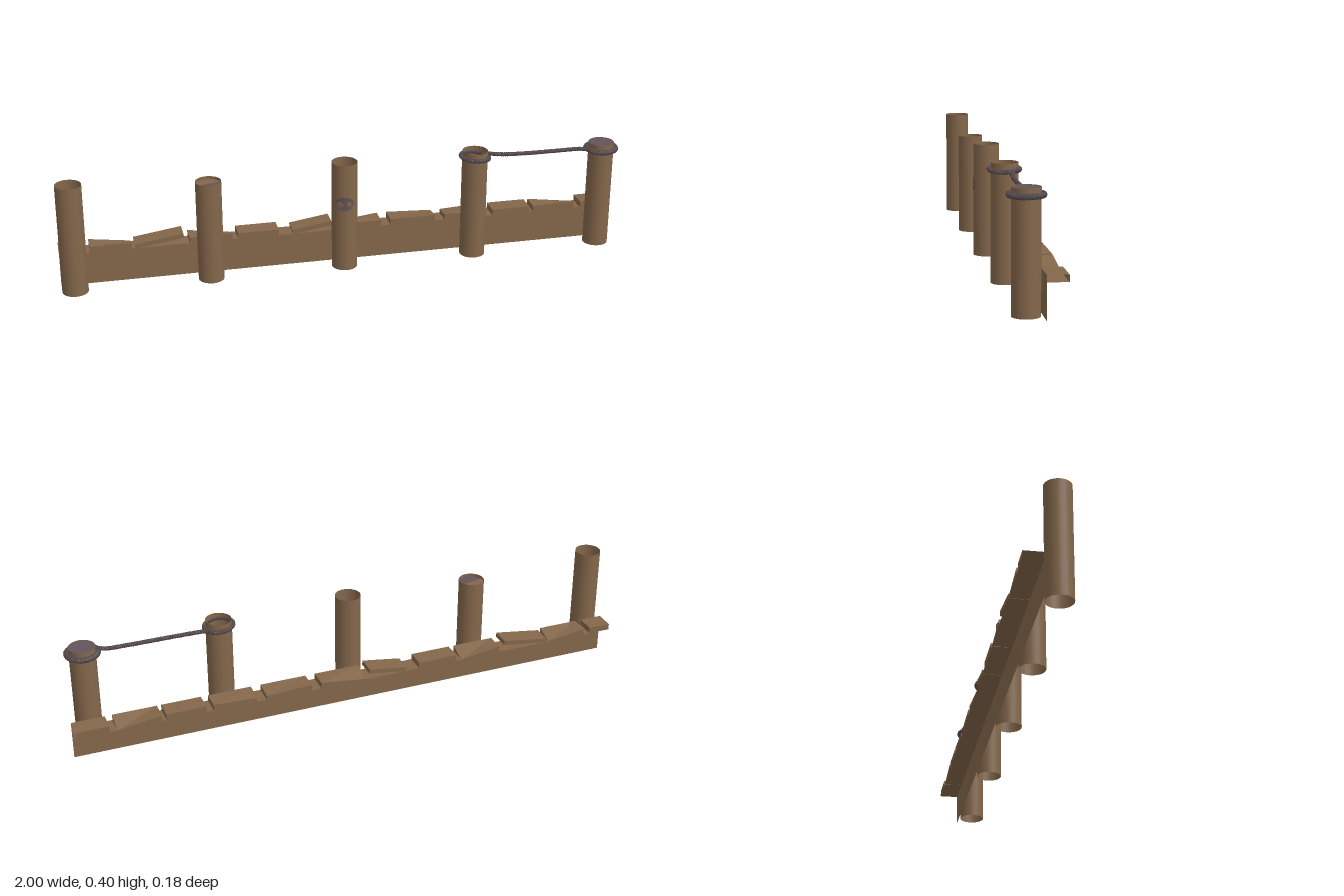
import * as THREE from 'three';

const mat = (name, color) => {
  const m = new THREE.MeshStandardMaterial({ color, side: THREE.DoubleSide });
  m.name = name;
  return m;
};

export function createModel() {
  const model = new THREE.Group();
  const wood = mat('wood', 0x84674b);
  const grey = mat('weathered grey', 0x62545a);
  const ropeMat = mat('rope', 0x54484b);

  const add = (name, geometry, material, x = 0, y = 0, z = 0) => {
    const mesh = new THREE.Mesh(geometry, material);
    mesh.name = name;
    mesh.position.set(x, y, z);
    model.add(mesh);
    return mesh;
  };

  const R = 0.045, postZ = 0.028;
  const front = -0.023, back = -0.09, depth = front - back, midZ = (front + back) / 2;

  // Hollow posts: x, height
  const posts = [[-0.955, 0.395], [-0.485, 0.365], [-0.01, 0.395], [0.46, 0.395], [0.93, 0.388]];
  for (const [x, h] of posts) {
    add('post', new THREE.CylinderGeometry(R, R, h, 24, 1, true), wood, x, h / 2, postZ);
  }

  // Post tops
  const cap = (name, x, y, start, sweep, m) =>
    add(name, new THREE.CircleGeometry(R - 0.001, 24, start, sweep).rotateX(-Math.PI / 2), m, x, y, postZ);
  cap('postCap', 0.93, 0.386, 0, Math.PI * 2, grey);
  cap('brokenCapBack', -0.485, 0.355, 0.25, Math.PI, wood);
  cap('brokenCapFront', -0.485, 0.355, 0.25 + Math.PI, Math.PI, grey);

  // Knot wrapped on the middle post
  const knot = new THREE.CircleGeometry(0.031, 16);
  const kp = knot.attributes.position;
  for (let i = 0; i < kp.count; i++) {
    const x = kp.getX(i) - 0.008;
    kp.setXYZ(i, x, kp.getY(i) * 0.85, Math.sqrt(Math.max(0, 0.0465 ** 2 - x * x)));
  }
  knot.computeVertexNormals();
  add('knot', knot, grey, -0.01, 0.252, postZ);

  // Side board and the thin deck above it
  add('sideBoard', new THREE.PlaneGeometry(2, 0.116), wood, 0, 0.058, front);
  add('deck', new THREE.PlaneGeometry(2, depth).rotateX(-Math.PI / 2), wood, 0, 0.115, midZ);

  // Planks: left x, right x, drop of the back left corner, drop of the back right corner
  const planks = [
    [-1, -0.92, 0, 0], [-0.895, -0.75, 0, 0.02], [-0.55, -0.4, 0, 0.024], [-0.38, -0.235, 0, 0],
    [-0.03, 0.135, 0.02, 0], [0.17, 0.335, 0, 0.008], [0.37, 0.525, 0.008, 0],
    [0.55, 0.69, 0, 0], [0.705, 0.86, 0, 0.024], [0.885, 1, 0, 0],
  ];
  for (const [x0, x1, dropL, dropR] of planks) {
    let g = new THREE.BoxGeometry(x1 - x0, 0.022, depth);
    const p = g.attributes.position;
    for (let i = 0; i < p.count; i++) {
      if (p.getY(i) > 0 && p.getZ(i) < 0) p.setY(i, p.getY(i) - (p.getX(i) < 0 ? dropL : dropR));
    }
    // Outermost planks are open at the end
    const index = Array.from(g.index.array);
    if (x1 === 1) index.splice(0, 6);
    if (x0 === -1) index.splice(6, 6);
    g.setIndex(index);
    g = g.toNonIndexed();
    g.computeVertexNormals();
    add('plank', g, wood, (x0 + x1) / 2, 0.126, midZ);
  }

  // Loose planks lifted at the right end: left x, right x, left y, right y
  for (const [x0, x1, y0, y1] of [[-0.74, -0.57, 0.122, 0.147], [-0.185, -0.045, 0.122, 0.143]]) {
    const len = Math.hypot(x1 - x0, y1 - y0);
    const m = add('loosePlank', new THREE.BoxGeometry(len, 0.016, depth), wood, (x0 + x1) / 2, (y0 + y1) / 2, midZ);
    m.rotation.z = Math.atan2(y1 - y0, x1 - x0);
  }

  // Twisted rope: strands wound round a guide curve
  const rope = (name, curve, closed, radius, turns) => {
    const n = turns * 8, strands = 3;
    const frames = curve.computeFrenetFrames(n, closed);
    const group = new THREE.Group();
    group.name = name;
    for (let s = 0; s < strands; s++) {
      const pts = [];
      for (let i = 0; i < (closed ? n : n + 1); i++) {
        const a = (i / n) * turns * Math.PI * 2 + (s / strands) * Math.PI * 2;
        pts.push(curve.getPointAt(i / n)
          .addScaledVector(frames.normals[i], Math.cos(a) * radius * 0.5)
          .addScaledVector(frames.binormals[i], Math.sin(a) * radius * 0.5));
      }
      const path = new THREE.CatmullRomCurve3(pts, closed);
      group.add(new THREE.Mesh(new THREE.TubeGeometry(path, n, radius * 0.55, 6, closed), ropeMat));
    }
    model.add(group);
  };
  const loop = (x, y, r, tilt) => {
    const pts = [];
    for (let i = 0; i < 12; i++) {
      const a = (i / 12) * Math.PI * 2;
      pts.push(new THREE.Vector3(x + Math.cos(a) * r, y + Math.cos(a) * tilt, postZ + Math.sin(a) * r));
    }
    return new THREE.CatmullRomCurve3(pts, true);
  };
  rope('ropeLoop', loop(0.46, 0.372, 0.049, -0.004), true, 0.008, 14);
  rope('ropeLoop', loop(0.93, 0.365, 0.052, 0), true, 0.0095, 14);
  const span = [[0.495, 0.374, -0.008], [0.515, 0.371, 0.006], [0.56, 0.367, 0.016],
    [0.65, 0.365, 0.021], [0.78, 0.365, 0.022], [0.855, 0.366, 0.026], [0.885, 0.367, 0.045]];
  rope('ropeSpan', new THREE.CatmullRomCurve3(span.map((p) => new THREE.Vector3(...p))), false, 0.0075, 18);

  return model;
}
